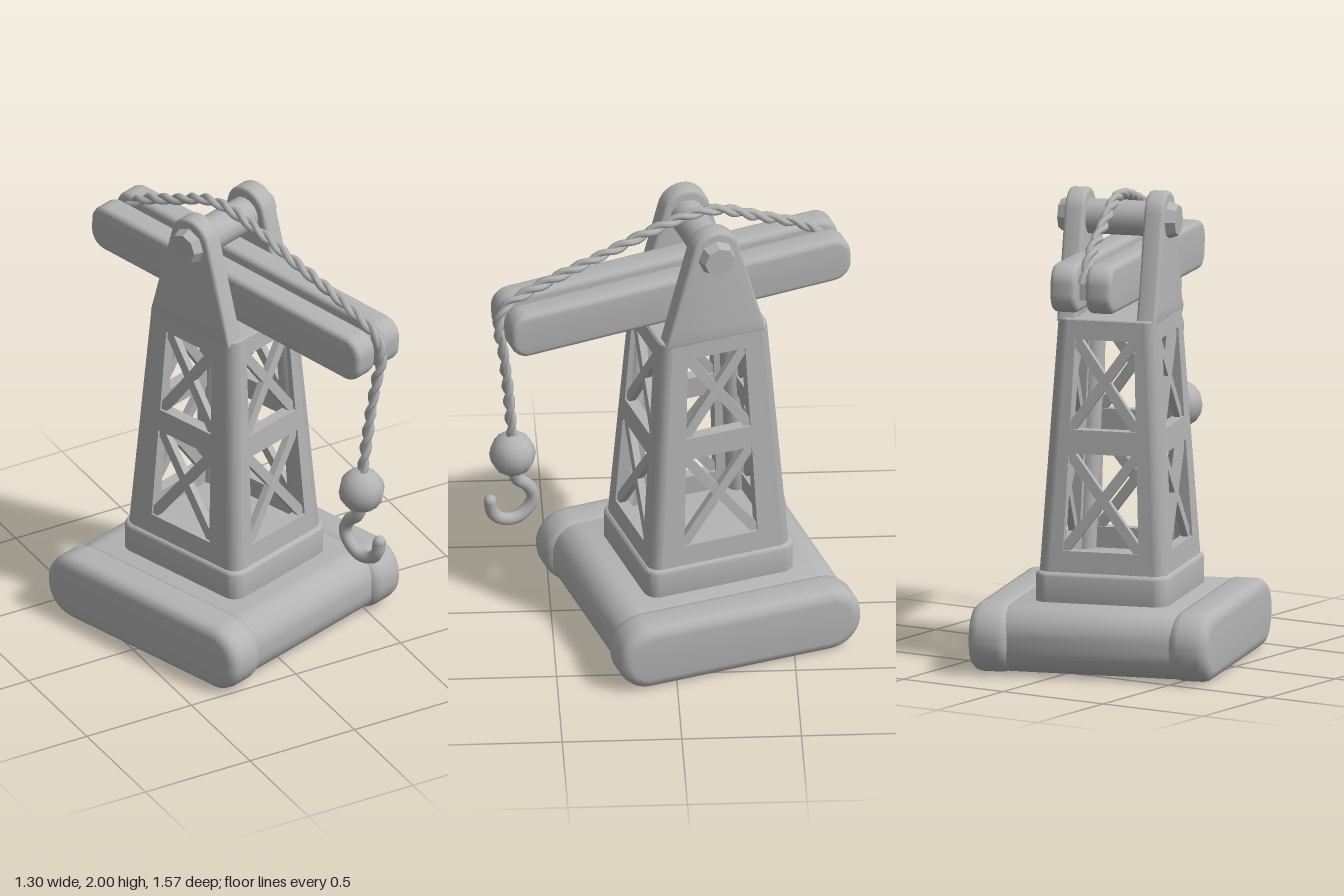
import * as THREE from 'three';
import { toCreasedNormals } from 'three/addons/utils/BufferGeometryUtils.js';

const grey = new THREE.MeshStandardMaterial({ color: 0xb4b4b4 });
grey.name = 'grey';

function add(parent, name, geometry, x = 0, y = 0, z = 0) {
  const mesh = new THREE.Mesh(geometry, grey);
  mesh.name = name;
  mesh.position.set(x, y, z);
  parent.add(mesh);
  return mesh;
}

function polygon(points) {
  return new THREE.Shape(points.map(([x, y]) => new THREE.Vector2(x, y)));
}

// Rounded rectangle centred on the origin, with half sizes a and b
function roundedRect(a, b, r) {
  const s = new THREE.Shape();
  s.absarc(a - r, b - r, r, 0, Math.PI / 2);
  s.absarc(r - a, b - r, r, Math.PI / 2, Math.PI);
  s.absarc(r - a, r - b, r, Math.PI, Math.PI * 1.5);
  s.absarc(a - r, r - b, r, Math.PI * 1.5, Math.PI * 2);
  s.closePath();
  return s;
}

// Extrusion centred on its depth; the bevel stays inside the outline and depth
function slab(shape, depth, bevel, segments = 3) {
  const g = new THREE.ExtrudeGeometry(shape, {
    depth: depth - 2 * bevel, bevelEnabled: true, bevelThickness: bevel,
    bevelSize: bevel, bevelOffset: -bevel, bevelSegments: segments, curveSegments: 6,
  });
  g.translate(0, 0, bevel - depth / 2);
  return toCreasedNormals(g, 0.75);
}

// Slab whose outline lies in the (z, y) plane and whose depth runs along x
const sideSlab = (shape, depth, bevel) => slab(shape, depth, bevel).rotateY(-Math.PI / 2);

// Tapering tower: half widths along x and z at a height
const Y0 = 0.4, Y1 = 1.48, R = 0.05, T = 0.05;
const lerp = (a, b, y) => a + (b - a) * (y - Y0) / (Y1 - Y0);
const halfX = (y) => lerp(0.275, 0.212, y);
const halfZ = (y) => lerp(0.315, 0.242, y);
const windowHalf = (y) => lerp(0.168, 0.125, y);

function buildTower(parent) {
  const tower = new THREE.Group();
  tower.name = 'tower';
  parent.add(tower);
  for (let k = 0; k < 4; k++) {
    const [width, offset] = k % 2 ? [halfZ, halfX] : [halfX, halfZ];
    // Extrudes a shape and leans it along the slope of this wall
    const lean = (shape, depth, inset) => {
      const g = new THREE.ExtrudeGeometry(shape, { depth, bevelEnabled: false });
      const p = g.attributes.position;
      for (let i = 0; i < p.count; i++) p.setZ(i, p.getZ(i) + offset(p.getY(i)) - depth - inset);
      g.computeVertexNormals();
      return g.rotateY(k * Math.PI / 2);
    };
    const b = width(Y0) - R, t = width(Y1) - R;
    const wall = polygon([[-b, Y0], [b, Y0], [t, Y1], [-t, Y1]]);
    for (const [lo, hi] of [[0.51, 0.92], [1.02, 1.4]]) {
      const p = windowHalf(lo), q = windowHalf(hi);
      wall.holes.push(polygon([[-p, lo], [-q, hi], [q, hi], [p, lo]]));
      // Crossed braces
      for (const s of [-1, 1]) {
        const from = new THREE.Vector2(-s * p, lo), to = new THREE.Vector2(s * q, hi);
        const d = to.clone().sub(from).normalize();
        const n = new THREE.Vector2(-d.y, d.x).multiplyScalar(0.021);
        from.addScaledVector(d, -0.01);
        to.addScaledVector(d, 0.01);
        const strip = [[from, -1], [to, -1], [to, 1], [from, 1]]
          .map(([v, m]) => [v.x + n.x * m, v.y + n.y * m]);
        add(tower, 'crossBrace', lean(polygon(strip), 0.03, s > 0 ? 0.009 : 0.011));
      }
    }
    add(tower, 'latticeWall', lean(wall, T, 0));

    // Rounded corner post, sheared to follow the taper
    const sx = k % 2 ? 1 : -1, sz = k < 2 ? 1 : -1;
    const post = new THREE.CylinderGeometry(R, R, Y1 - Y0, 16);
    post.translate(0, (Y0 + Y1) / 2, 0);
    const p = post.attributes.position;
    for (let i = 0; i < p.count; i++) {
      const y = p.getY(i);
      p.setX(i, p.getX(i) + sx * (halfX(y) - R));
      p.setZ(i, p.getZ(i) + sz * (halfZ(y) - R));
    }
    add(tower, 'cornerPost', post);
  }
  add(tower, 'towerCap', slab(roundedRect(0.21, 0.24, R), 0.04, 0.008).rotateX(-Math.PI / 2), 0, 1.465, 0);
}

// Two strands wound around a path
function buildRope(parent, path) {
  const n = 150, turns = 13;
  const frames = path.computeFrenetFrames(n);
  for (const phase of [0, Math.PI]) {
    const points = [];
    for (let i = 0; i <= n; i++) {
      const a = phase + turns * Math.PI * 2 * i / n;
      points.push(path.getPointAt(i / n)
        .addScaledVector(frames.normals[i], Math.cos(a) * 0.011)
        .addScaledVector(frames.binormals[i], Math.sin(a) * 0.011));
    }
    add(parent, 'ropeStrand', new THREE.TubeGeometry(new THREE.CatmullRomCurve3(points), 220, 0.015, 6));
  }
}

export function createModel() {
  const model = new THREE.Group();
  model.name = 'toyCrane';
  const crane = new THREE.Group();
  crane.name = 'crane';
  crane.position.z = -0.115;
  crane.rotation.y = 0.318;
  model.add(crane);

  // Base
  add(crane, 'baseBody', sideSlab(roundedRect(0.515, 0.143, 0.125), 0.74, 0.01), 0, 0.15, 0);
  for (const s of [-1, 1]) {
    add(crane, 'track', sideSlab(roundedRect(0.54, 0.146, 0.14), 0.175, 0.045), s * 0.433, 0.15, 0);
  }
  add(crane, 'plinth', slab(roundedRect(0.288, 0.33, 0.06), 0.16, 0.018).rotateX(-Math.PI / 2), 0, 0.34, 0);
  buildTower(crane);

  // Head: two side brackets with an axle and bolts
  const bracket = new THREE.Shape();
  bracket.moveTo(-0.225, 1.465);
  bracket.lineTo(0.225, 1.465);
  bracket.lineTo(0.205, 1.54);
  bracket.absarc(0, 1.895, 0.105, 0.22, Math.PI - 0.22);
  bracket.lineTo(-0.205, 1.54);
  bracket.closePath();
  for (const s of [-1, 1]) {
    add(crane, 'headBracket', sideSlab(bracket, 0.085, 0.014), s * 0.172, 0, 0);
    const bolt = new THREE.CylinderGeometry(0.065, 0.082, 0.045, 8).rotateZ(-s * Math.PI / 2);
    add(crane, 'axleBolt', toCreasedNormals(bolt, 0.3), s * 0.232, 1.88, 0);
  }
  add(crane, 'axle', new THREE.CylinderGeometry(0.075, 0.075, 0.34, 16).rotateZ(Math.PI / 2), 0, 1.88, 0);

  // Boom: twin beams, a little lower at the front
  const boom = new THREE.Group();
  boom.name = 'boom';
  boom.position.set(0, 1.651, 0.122);
  boom.rotation.x = 0.042;
  crane.add(boom);
  for (const s of [-1, 1]) {
    add(boom, 'boomBeam', sideSlab(roundedRect(0.76, 0.103, 0.08), 0.112, 0.022), s * 0.077, 0, 0);
  }
  add(boom, 'boomCore', new THREE.BoxGeometry(0.06, 0.1, 1.38));

  // Rope over the axle and down from the boom tip
  const ropePath = [[0, 1.7, -0.58], [0, 1.8, -0.48], [0, 1.89, -0.28], [0, 1.965, -0.1], [0, 1.974, 0],
    [0, 1.955, 0.12], [0, 1.87, 0.4], [0, 1.755, 0.76], [0, 1.7, 0.865], [0, 1.62, 0.893],
    [-0.005, 1.5, 0.872], [-0.02, 1.3, 0.845], [-0.038, 1.0, 0.815]];
  buildRope(crane, new THREE.CatmullRomCurve3(ropePath.map((p) => new THREE.Vector3(...p))));

  // Ball and hook
  const hook = new THREE.Group();
  hook.name = 'hookBlock';
  hook.position.set(-0.038, 0.94, 0.815);
  crane.add(hook);
  add(hook, 'ball', new THREE.SphereGeometry(0.098, 10, 8));
  const hookPath = [[-0.07, -0.005], [-0.13, -0.02], [-0.175, -0.068], [-0.23, -0.092], [-0.285, -0.07],
    [-0.322, -0.01], [-0.31, 0.055], [-0.27, 0.09], [-0.215, 0.1]];
  const curve = new THREE.CatmullRomCurve3(hookPath.map(([y, z]) => new THREE.Vector3(0, y, z)));
  add(hook, 'hook', new THREE.TubeGeometry(curve, 28, 0.028, 8));
  add(hook, 'hookTip', new THREE.SphereGeometry(0.028, 8, 6), 0, -0.215, 0.1);
  return model;
}
